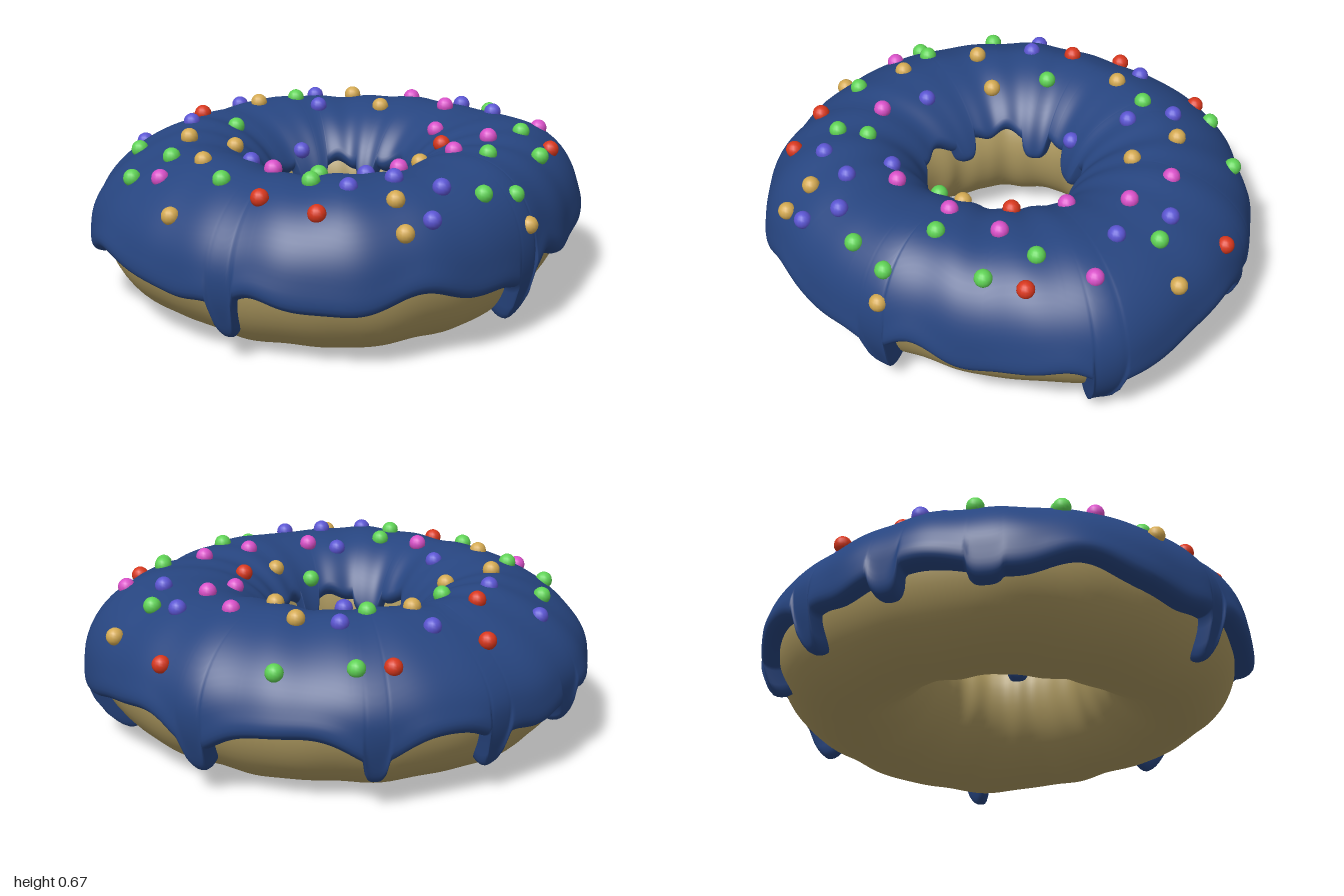
import * as THREE from 'three';

const TAU = Math.PI * 2, RAD = Math.PI / 180, MID_Y = 0.32, ICING = 0.048;

// Uneven outer and hole radii, every 22.5 degrees from +x towards +z
const OUTER = [0.995, 0.92, 0.875, 0.9, 0.945, 0.965, 0.96, 0.96, 0.995, 0.975, 0.965, 0.96, 0.955, 0.945, 0.95, 0.97];
const HOLE = [0.225, 0.22, 0.235, 0.26, 0.29, 0.33, 0.31, 0.27, 0.25, 0.26, 0.27, 0.265, 0.25, 0.23, 0.23, 0.23];
const outline = new THREE.CatmullRomCurve3(
  OUTER.map((r, i) => new THREE.Vector3(r, HOLE[i], 0)), true, 'catmullrom', 0.5);

// Drips: [angle in degrees, lowest height, half width in radians]
const OUTER_DRIPS = [[2, 0.05, 0.06], [58, 0.08, 0.06], [135, 0.1, 0.052], [194, 0.19, 0.07],
  [216, 0.18, 0.07], [241, 0.11, 0.055], [270, 0.12, 0.05], [312, 0.11, 0.055]];
const INNER_DRIPS = [[20, 0.35, 0.17], [75, 0.32, 0.15], [118, 0.34, 0.18], [165, 0.35, 0.15],
  [222, 0.33, 0.18], [262, 0.31, 0.24], [310, 0.34, 0.17]];

// Ring position measurements at angle a
function ring(a) {
  const p = outline.getPoint((((a / TAU) % 1) + 1) % 1);
  return { centre: (p.x + p.y) / 2, width: (p.x - p.y) / 2 };
}

// Point on the ring; t = 0 faces out, 90 degrees up; lift moves along the normal
function surface(a, t, lift) {
  const { centre, width } = ring(a);
  const c = Math.cos(t), s = Math.sin(t);
  const w = width - ICING, h = s > 0 ? 0.27 : 0.308;
  const n = new THREE.Vector2(c / w, s / h).normalize();
  const r = centre + w * c + n.x * lift;
  // Outer shoulder sags on the left and back
  const sag = 2 * Math.max(0, s) * Math.max(0, c) * (0.02 * Math.cos(a) + 0.02 * Math.sin(a) - 0.012);
  return new THREE.Vector3(r * Math.cos(a), MID_Y + h * s + n.y * lift + sag, r * Math.sin(a));
}

// Height of the icing edge: a wavy line with blunt drips
function edgeHeight(a, base, wave, drips) {
  let y = base + wave;
  for (const [deg, low, half] of drips) {
    const d = Math.abs(Math.atan2(Math.sin(a - deg * RAD), Math.cos(a - deg * RAD))) / half;
    const drip = d < 1 ? Math.sqrt(1 - d ** 3) : 0;
    const root = 0.25 * Math.exp(-d * d / 3);
    y -= (base + wave - low) * Math.max(drip, root);
  }
  return y;
}
const edgeAngle = y => Math.asin(THREE.MathUtils.clamp((y - MID_Y) / (y > MID_Y ? 0.27 : 0.308), -0.95, 0.95));

// Grid of points, closed round the ring and optionally round the section
function loft(cols, rows, closed, point) {
  const pos = [], idx = [], stride = closed ? rows : rows + 1;
  for (let i = 0; i < cols; i++)
    for (let j = 0; j < stride; j++) pos.push(...point(i / cols * TAU, j / rows).toArray());
  for (let i = 0; i < cols; i++)
    for (let j = 0; j < rows; j++) {
      const k = (j + 1) % stride, n = ((i + 1) % cols) * stride, m = i * stride;
      idx.push(m + j, m + k, n + j, m + k, n + k, n + j);
    }
  const g = new THREE.BufferGeometry();
  g.setAttribute('position', new THREE.Float32BufferAttribute(pos, 3));
  g.setIndex(idx);
  g.computeVertexNormals();
  return g;
}

function doughGeometry() {
  return loft(160, 56, true, (a, v) => {
    const t = v * TAU;
    const ripple = 0.004 * Math.sin(11 * a + 2 * Math.cos(t)) + 0.002 * Math.sin(19 * a + 1);
    return surface(a, t, ripple - 0.002);
  });
}

function icingGeometry() {
  return loft(640, 48, false, (a, v) => {
    const outWave = 0.028 * Math.cos(9 * (a - Math.PI / 2)) + 0.008 * Math.sin(17 * a);
    const inWave = 0.015 * Math.sin(13 * a);
    const start = edgeAngle(edgeHeight(a, 0.25, outWave, OUTER_DRIPS));
    const end = Math.PI - edgeAngle(edgeHeight(a, 0.43, inWave, INNER_DRIPS));
    const t = start + (end - start) * (1 - Math.cos(v * Math.PI)) / 2;
    // Rounded lip towards both edges, swollen on the outside, soft creases across the top
    const d = Math.min(1, Math.min(t - start, end - t) * 0.33 / 0.045);
    const lip = Math.sqrt(Math.max(0, 1 - (1 - d) ** 2));
    const fromEdge = ((t - start) * 0.33 - 0.05) / 0.05;
    const swell = 0.01 * Math.exp(-fromEdge * fromEdge);
    const crease = 0.006 * Math.sin(7 * a + 1)
      + 0.004 * Math.sin(19 * a + 2 * Math.cos(t)) * Math.sin(2 * a + 0.5);
    return surface(a, t, -0.008 + lip * (ICING + 0.008 + crease + swell));
  });
}

// Sprinkle positions as x, z pairs
const SPRINKLES = {
  red: [0xd8371d, [-0.07, -0.85, -0.44, -0.69, -0.45, -0.47, 0.72, -0.56, 0.36, 0.15, 0.77, 0.27,
    -0.5, 0.61, -0.34, 0.77]],
  green: [0x5fd255, [0.06, -0.85, 0.34, -0.8, -0.02, -0.58, -0.35, -0.31, -0.76, -0.24, -0.85, 0.06,
    -0.7, 0.08, 0.74, -0.27, 0.68, 0.19, 0.67, 0.39, -0.59, 0.42, 0.07, 0.33, -0.25, 0.5,
    -0.31, 0.6, 0.42, 0.47, 0.44, 0.68, 0.29, 0.74]],
  violet: [0x5b55d2, [-0.24, -0.68, 0.09, -0.66, 0.05, -0.48, -0.7, -0.43, -0.53, -0.32, -0.08, -0.3,
    0.65, -0.36, 0.69, -0.12, -0.42, 0.19, -0.06, 0.47, -0.2, 0.69, -0.02, 0.66, 0.13, 0.74,
    0.05, 0.86]],
  gold: [0xd3a952, [0.24, -0.6, -0.19, -0.55, 0.29, -0.38, 0.88, -0.28, -0.59, -0.1, -0.41, -0.09,
    -0.61, 0.22, -0.78, 0.42, 0.22, 0.29, -0.06, 0.79, -0.06, 0.89, 0.48, 0.72]],
  pink: [0xd850c8, [0.46, -0.46, 0.53, -0.25, 0.41, -0.05, 0.83, 0.03, -0.77, 0.2, -0.39, 0.39,
    0.32, 0.38, 0.51, 0.26, 0.06, 0.49]],
};

function material(name, color) {
  const m = new THREE.MeshStandardMaterial({ color });
  m.name = name;
  return m;
}

export function createModel() {
  const model = new THREE.Group();
  model.name = 'doughnut';
  const add = (parent, name, geometry, mat) => {
    const mesh = new THREE.Mesh(geometry, mat);
    mesh.name = name;
    parent.add(mesh);
    return mesh;
  };

  add(model, 'dough', doughGeometry(), material('dough tan', 0xac985f));
  const icingMat = material('icing blue', 0x274580);
  icingMat.side = THREE.DoubleSide;
  add(model, 'icing', icingGeometry(), icingMat);

  // Sprinkles sit half sunk in the icing
  const ball = new THREE.SphereGeometry(0.034, 14, 10);
  for (const [name, [color, spots]] of Object.entries(SPRINKLES)) {
    const group = new THREE.Group();
    group.name = name + 'Sprinkles';
    const mat = material('sprinkle ' + name, color);
    for (let i = 0; i < spots.length; i += 2) {
      const a = Math.atan2(spots[i + 1], spots[i]);
      const { centre, width } = ring(a);
      const u = (Math.hypot(spots[i], spots[i + 1]) - centre) / width;
      const t = Math.acos(THREE.MathUtils.clamp(u, -0.97, 0.97));
      add(group, name + 'Sprinkle', ball, mat).position.copy(surface(a, t, ICING + 0.004));
    }
    model.add(group);
  }
  return model;
}
